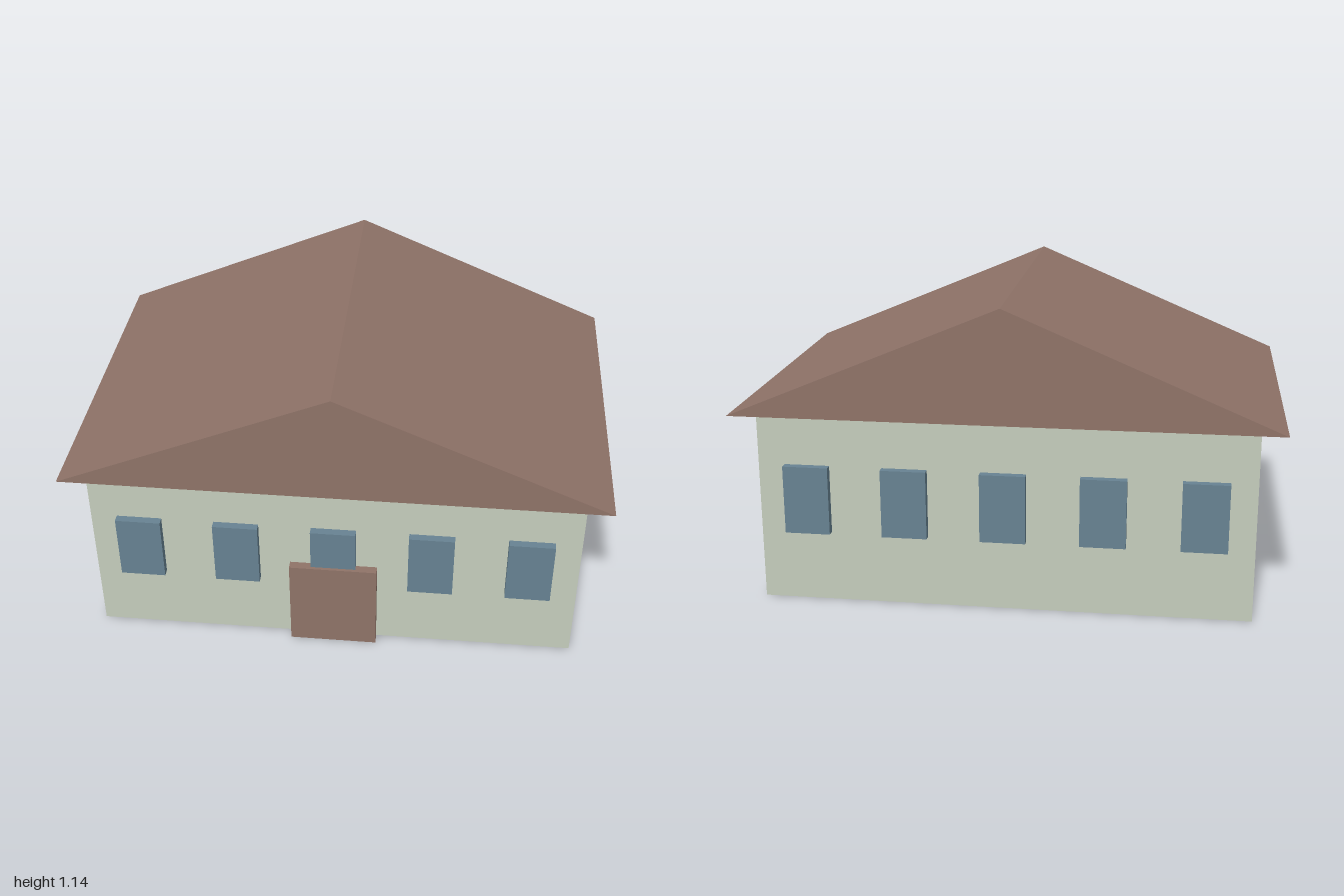
import * as THREE from 'three';

export function createModel() {
  const paint = (name, color) => {
    const m = new THREE.MeshStandardMaterial({ color });
    m.name = name;
    return m;
  };
  const wallGreen = paint('pale green wall', 0xc5cdbc);
  const brown = paint('brown', 0x8f7368);
  const blue = paint('slate blue', 0x678292);

  const house = new THREE.Group();
  house.name = 'house';

  // Box given by its centre x, its bottom y and its centre z
  const box = (name, material, w, h, d, x, y, z) => {
    const mesh = new THREE.Mesh(new THREE.BoxGeometry(w, h, d), material);
    mesh.name = name;
    mesh.position.set(x, y + h / 2, z);
    house.add(mesh);
  };

  // Walls
  const eaves = 0.723;
  const wallDepth = 1.212;
  box('walls', wallGreen, 1.818, eaves, wallDepth, 0, 0, 0);

  // Gabled roof: a triangular prism with its ridge along z
  const gable = new THREE.Shape([
    new THREE.Vector2(-1, eaves),
    new THREE.Vector2(1, eaves),
    new THREE.Vector2(0, 1.144),
  ]);
  const roofDepth = 1.333;
  const roofGeometry = new THREE.ExtrudeGeometry(gable, { depth: roofDepth, bevelEnabled: false });
  roofGeometry.translate(0, 0, -roofDepth / 2);
  const roof = new THREE.Mesh(roofGeometry, brown);
  roof.name = 'roof';
  house.add(roof);

  // Five raised windows on the front and on the back
  for (const side of [1, -1]) {
    for (let i = -2; i <= 2; i++) {
      box(side > 0 ? 'frontWindow' : 'backWindow', blue,
        0.168, 0.258, 0.03, i * 0.3636, 0.27, side * (wallDepth / 2 + 0.015));
    }
  }

  // Door, standing just clear of the front wall
  box('door', brown, 0.328, 0.362, 0.033, 0, 0, 0.631);

  return house;
}
